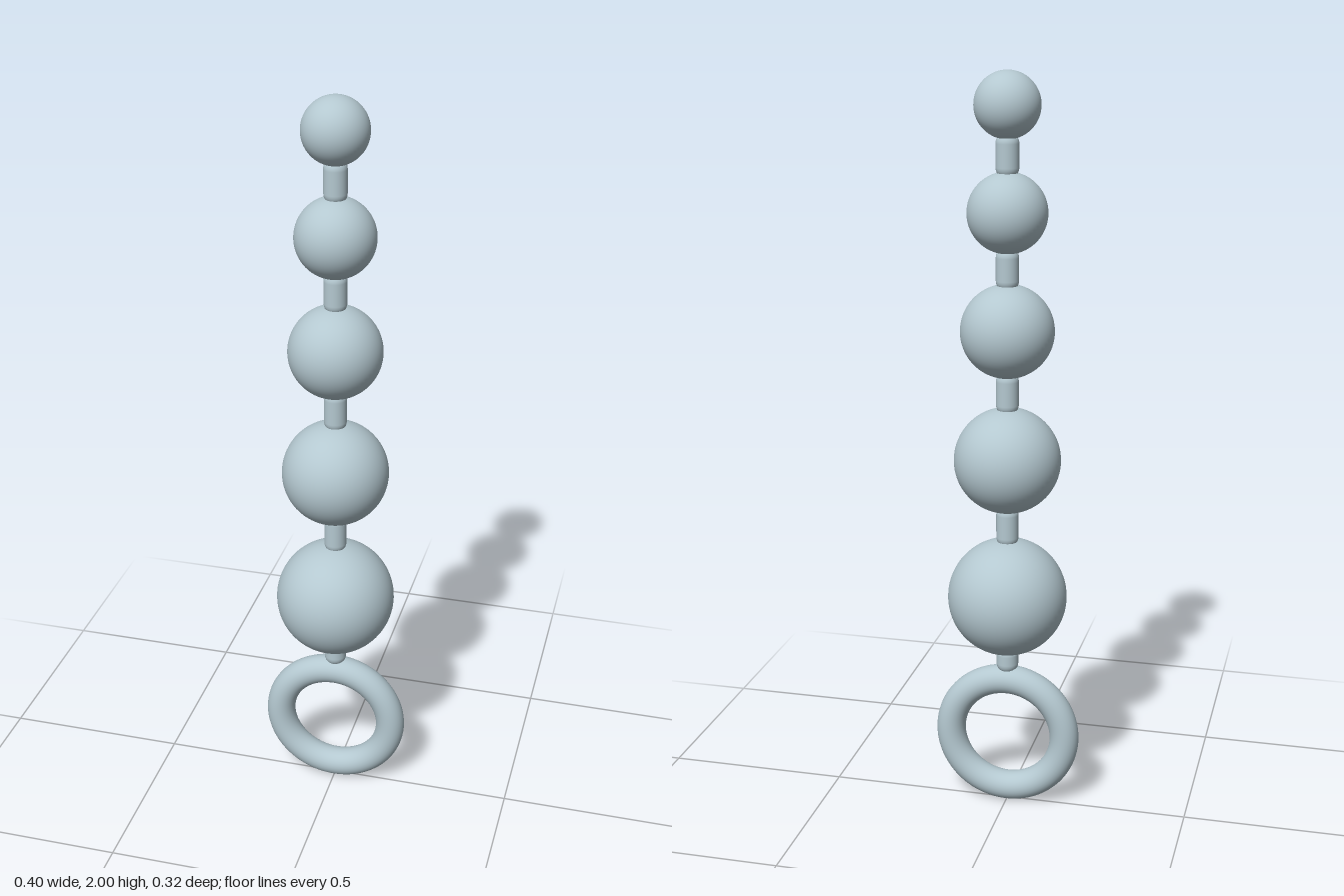
import * as THREE from 'three';

export function createModel() {
  const model = new THREE.Group();
  const blueGrey = new THREE.MeshStandardMaterial({ color: 0xb4c8d0 });
  blueGrey.name = 'paleBlueGrey';

  const add = (name, geometry, y) => {
    const mesh = new THREE.Mesh(geometry, blueGrey);
    mesh.name = name;
    mesh.position.y = y;
    model.add(mesh);
  };

  // Pull ring at the base, standing in the xy plane
  const ringRadius = 0.161, tube = 0.04;
  const ringY = ringRadius + tube;
  add('ring', new THREE.TorusGeometry(ringRadius, tube, 32, 96), ringY);

  // Beads shrinking towards the top: [centre height, radius]
  const beads = [[0.607, 0.161], [0.992, 0.142], [1.34, 0.123], [1.646, 0.104], [1.915, 0.085]];

  // Each bead sits on a round-ended connector sunk into its neighbours
  const rod = 0.03, sink = 0.02;
  let below = ringY + ringRadius + tube;
  beads.forEach(([y, r], i) => {
    const bottom = below - sink, top = y - r + sink;
    const length = Math.max(top - bottom - 2 * rod, 0.005);
    add(`connector${i + 1}`, new THREE.CapsuleGeometry(rod, length, 8, 32), (bottom + top) / 2);
    add(`bead${i + 1}`, new THREE.SphereGeometry(r, 64, 40), y);
    below = y + r;
  });

  return model;
}
